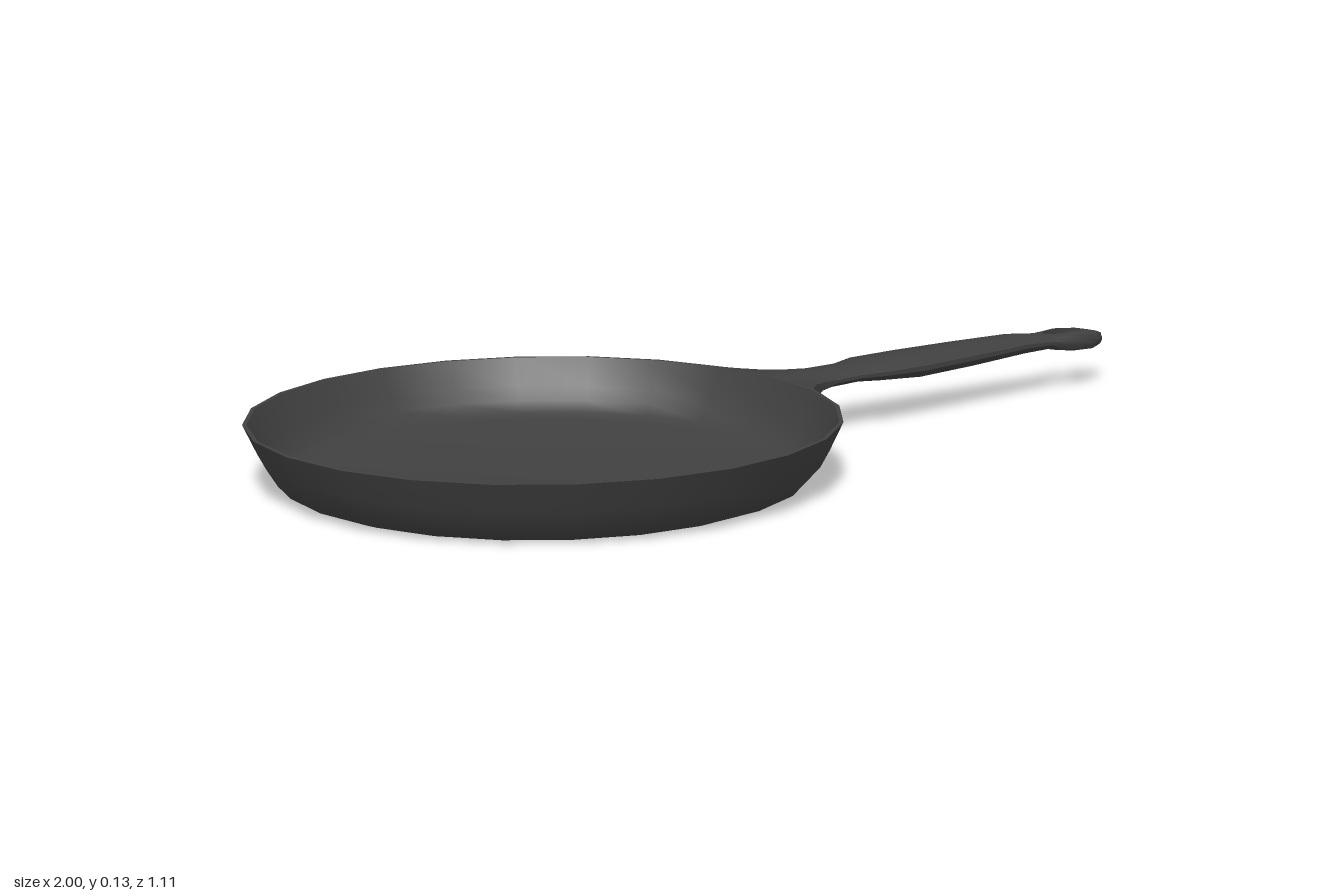
import * as THREE from 'three';
import { toCreasedNormals } from 'three/addons/utils/BufferGeometryUtils.js';

const CENTRE = -0.445; // x of the pan's axis
const RIM = 0.555;

// Radius of the outer pan wall at a height
const wallRadius = (y) => RIM - (0.12 - y) * 0.47;

function panGeometry() {
  const profile = [
    [0, 0], [0.465, 0], [0.49, 0.009], [0.513, 0.034], [0.53, 0.066], [RIM, 0.12],
    [0.547, 0.12], [0.521, 0.066], [0.503, 0.04], [0.482, 0.02], [0.455, 0.012], [0, 0.012],
  ].map(([r, y]) => new THREE.Vector2(r, y));
  return toCreasedNormals(new THREE.LatheGeometry(profile, 24), 0.7);
}

// Stations along the handle:
// x, half width, hole half width, top, bottom, chamfer (0 square, 1 rounded)
const STATIONS = [
  [0.0, 0.143, 0, 0.12, 0.065, 0],
  [0.105, 0.122, 0, 0.12, 0.07, 0.1],
  [0.14, 0.086, 0, 0.12, 0.083, 0.4],
  [0.18, 0.065, 0, 0.12, 0.088, 0.7],
  [0.22, 0.055, 0, 0.12, 0.089, 1],
  [0.29, 0.051, 0, 0.121, 0.09, 1],
  [0.34, 0.065, 0, 0.126, 0.087, 1],
  [0.45, 0.06, 0, 0.129, 0.078, 1],
  [0.6, 0.051, 0, 0.129, 0.081, 1],
  [0.75, 0.041, 0, 0.127, 0.087, 1],
  [0.825, 0.036, 0, 0.119, 0.088, 1],
  [0.85, 0.039, 0.017, 0.118, 0.084, 1],
  [0.895, 0.047, 0.024, 0.119, 0.078, 1],
  [0.94, 0.041, 0.017, 0.115, 0.075, 1],
  [0.96, 0.033, 0, 0.112, 0.075, 1],
  [0.985, 0.018, 0, 0.106, 0.078, 1],
  [1.0, 0, 0, 0.1, 0.086, 1],
];

// Half cross-section, from the inner top edge round the outside to the inner bottom edge
function halfSection([x, w, hole, top, bottom, c]) {
  const t = top - bottom;
  const shoulder = hole + (w - hole) * (1 - 0.28 * c);
  const points = [
    [hole, top], [shoulder, top - 0.1 * t * c], [w, top - 0.4 * t * c],
    [w, bottom + 0.4 * t * c], [shoulder, bottom + 0.1 * t * c], [hole, bottom],
  ];
  // Points that would enter the pan are pushed out onto its wall
  return points.map(([z, y]) => {
    const wall = CENTRE + Math.sqrt(wallRadius(y) ** 2 - z * z) - 0.001;
    return [Math.max(x, wall), y, z];
  });
}

function handleGeometry() {
  const sections = STATIONS.map(halfSection);
  const positions = [];
  const triangle = (a, b, c) => {
    positions.push(...a, ...b, ...c);
    for (const [x, y, z] of [a, c, b]) positions.push(x, y, -z); // mirrored half
  };
  for (let i = 0; i < sections.length - 1; i++) {
    const s = sections[i], n = sections[i + 1];
    const open = STATIONS[i][2] > 0 || STATIONS[i + 1][2] > 0;
    const sides = open ? 6 : 5; // the sixth side is the wall of the hanging hole
    for (let j = 0; j < sides; j++) {
      const k = (j + 1) % 6;
      triangle(s[j], s[k], n[k]);
      triangle(s[j], n[k], n[j]);
    }
  }
  const geometry = new THREE.BufferGeometry();
  geometry.setAttribute('position', new THREE.Float32BufferAttribute(positions, 3));
  return toCreasedNormals(geometry, 0.7);
}

export function createModel() {
  const iron = new THREE.MeshStandardMaterial({ color: 0x404040 });
  const group = new THREE.Group();
  group.name = 'fryingPan';

  const pan = new THREE.Mesh(panGeometry(), iron);
  pan.name = 'pan';
  pan.position.x = CENTRE;

  const handle = new THREE.Mesh(handleGeometry(), iron);
  handle.name = 'handle';

  group.add(pan, handle);
  return group;
}
